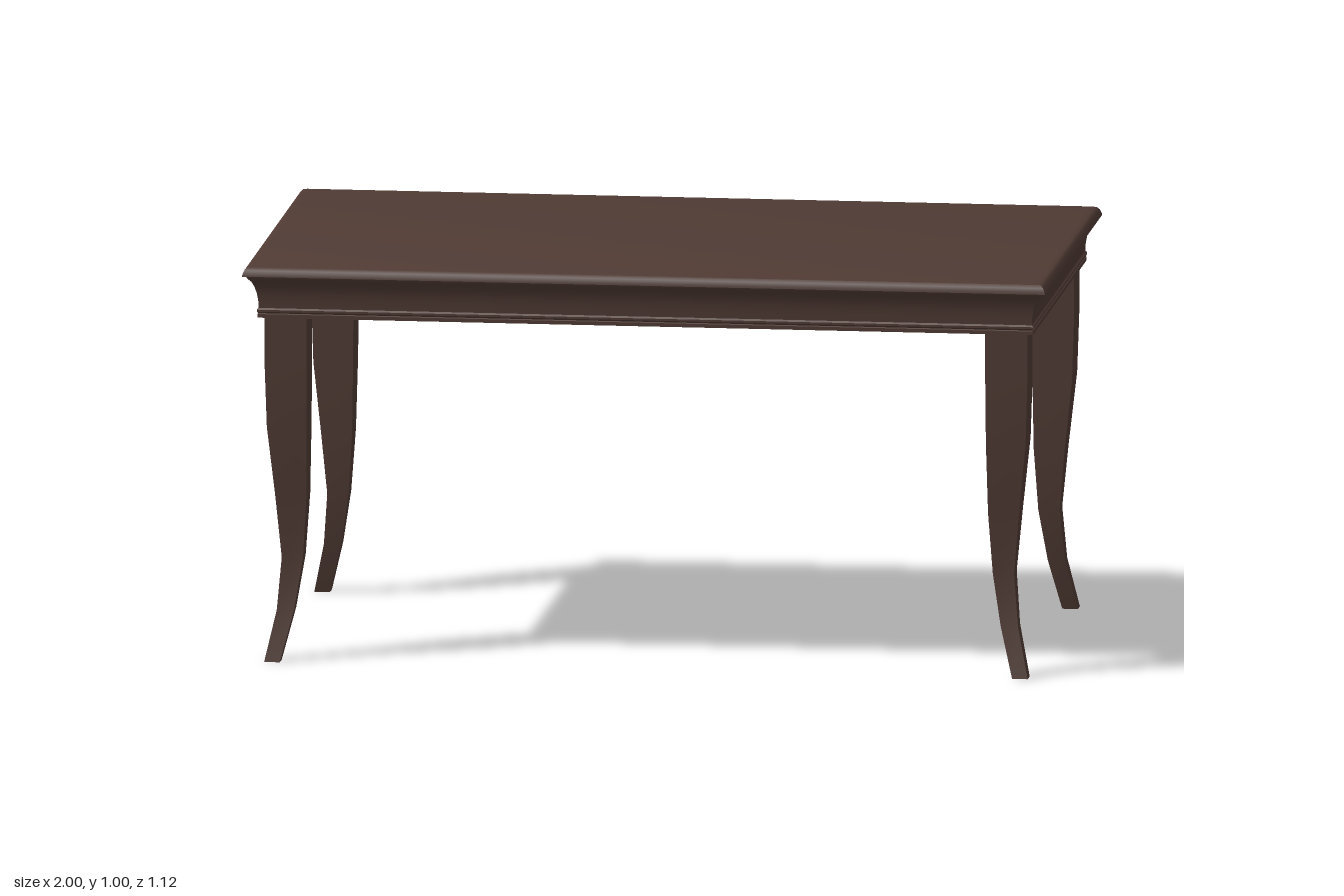
import * as THREE from 'three';
import { toCreasedNormals } from 'three/addons/utils/BufferGeometryUtils.js';

const HALF_X = 1, HALF_Z = 0.56;

// Skin a stack of rectangles [y, x0, x1, z0, z1], optionally closing both ends
function loft(sections, capped) {
  const positions = [], index = [];
  for (const [y, x0, x1, z0, z1] of sections) {
    positions.push(x1, y, z1, x1, y, z0, x0, y, z0, x0, y, z1);
  }
  for (let s = 0; s < sections.length - 1; s++) {
    for (let i = 0; i < 4; i++) {
      const a = s * 4 + i, b = s * 4 + (i + 1) % 4;
      index.push(a, b, b + 4, a, b + 4, a + 4);
    }
  }
  if (capped) {
    const t = (sections.length - 1) * 4;
    index.push(0, 2, 1, 0, 3, 2, t, t + 1, t + 2, t, t + 2, t + 3);
  }
  const geometry = new THREE.BufferGeometry();
  geometry.setAttribute('position', new THREE.Float32BufferAttribute(positions, 3));
  geometry.setIndex(index);
  return toCreasedNormals(geometry, 0.55);
}

// Moulding profile of [inset from the outer edge, y] run around the table
const moulding = (profile, capped) => loft(profile.map(([d, y]) =>
  [y, d - HALF_X, HALF_X - d, d - HALF_Z, HALF_Z - d]), capped);

export function createModel() {
  const table = new THREE.Group();
  table.name = 'diningTable';
  const wood = new THREE.MeshStandardMaterial({ color: 0x503b34 });
  wood.name = 'darkWood';

  const add = (name, geometry) => {
    const mesh = new THREE.Mesh(geometry, wood);
    mesh.name = name;
    table.add(mesh);
  };

  // Tabletop with a rounded upper edge
  add('tabletop', moulding([
    [0.045, 0.962], [0.045, 0.975], [0, 0.975], [0.001, 0.981],
    [0.005, 0.99], [0.012, 0.997], [0.024, 1],
  ], true));

  // Hollow apron: inner wall, lower lip, two beads, then a cove up to the top
  add('apron', moulding([
    [0.055, 0.975], [0.055, 0.867], [0.034, 0.867], [0.034, 0.876],
    [0.037, 0.878], [0.033, 0.882], [0.033, 0.887], [0.037, 0.891],
    [0.036, 0.91], [0.033, 0.928], [0.028, 0.945], [0.021, 0.959],
    [0.011, 0.969], [0.009, 0.976],
  ], false));

  // Curved square legs: [y, inner, outer] measured along z; x is shifted outwards
  const legProfile = [
    [0, 0.472, 0.511], [0.127, 0.44, 0.483], [0.257, 0.419, 0.472],
    [0.41, 0.409, 0.486], [0.59, 0.406, 0.505], [0.75, 0.405, 0.51],
    [0.962, 0.405, 0.51],
  ];
  const shift = HALF_X - HALF_Z;
  const span = (sign, a, b) => (sign > 0 ? [a, b] : [-b, -a]);
  for (const sx of [1, -1]) {
    for (const sz of [1, -1]) {
      const sections = legProfile.map(([y, a, b]) =>
        [y, ...span(sx, a + shift, b + shift), ...span(sz, a, b)]);
      add((sz > 0 ? 'front' : 'back') + (sx > 0 ? 'Left' : 'Right') + 'Leg', loft(sections, true));
    }
  }
  return table;
}
